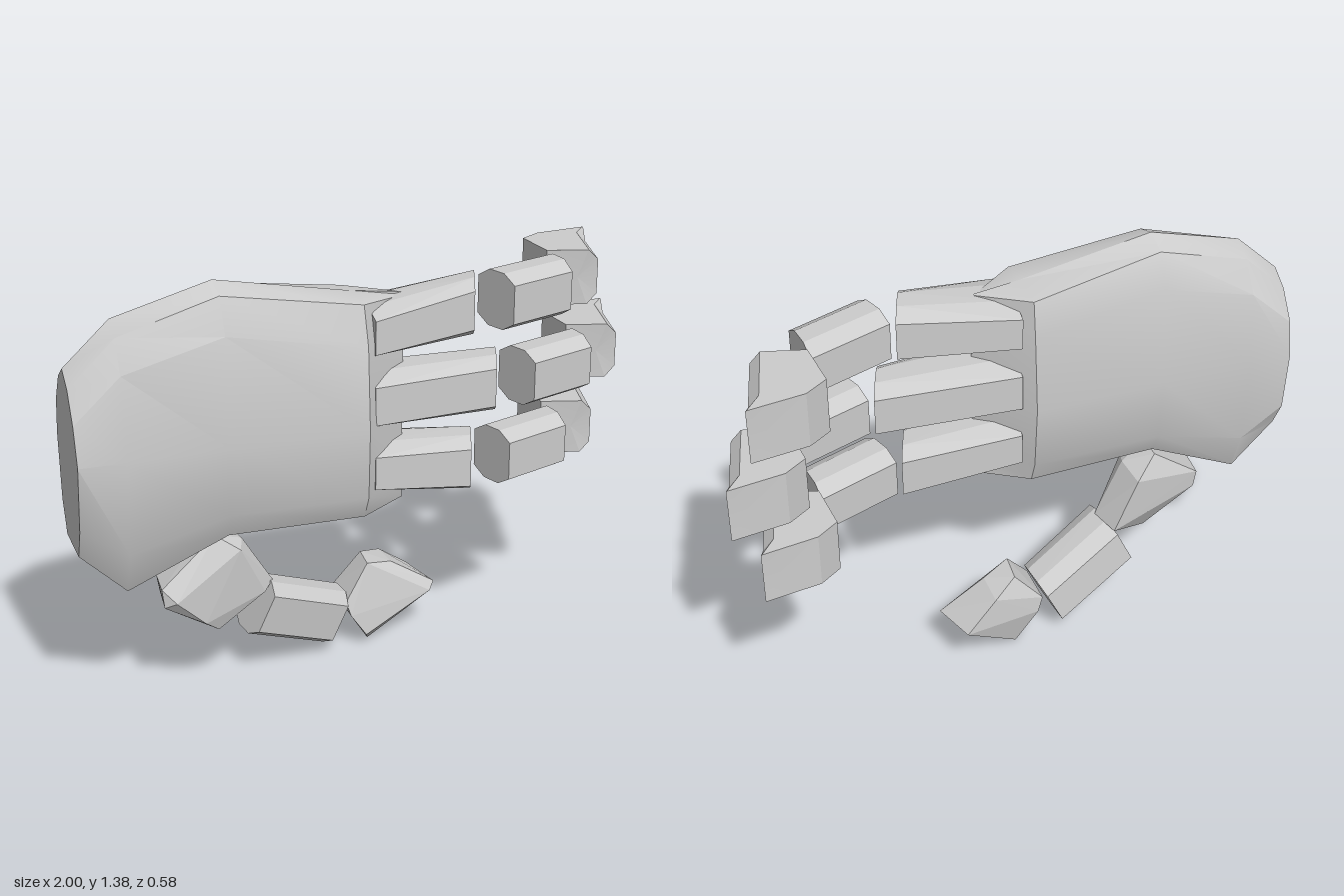
import * as THREE from 'three';
import { toCreasedNormals } from 'three/addons/utils/BufferGeometryUtils.js';
import { ConvexGeometry } from 'three/addons/geometries/ConvexGeometry.js';

const V = (x, y, z) => new THREE.Vector3(x, y, z);

// Octagonal ring spanning a front and a back point, with a half-height vector
function ring(front, back, up) {
  const pts = [];
  for (const [t, s] of [[0, 0.68], [0.3, 1], [0.7, 1], [1, 0.68]]) {
    for (const sign of [1, -1]) pts.push(front.clone().lerp(back, t).addScaledVector(up, s * sign));
  }
  return pts;
}

// Skin over equal-length rings (counterclockwise seen from the last one), capped at both ends
function loft(rings, crease) {
  const n = rings[0].length;
  const pts = rings.flat();
  const index = [];
  const last = (rings.length - 1) * n;
  for (let i = 0; i < last; i += n) {
    for (let j = 0; j < n; j++) {
      const k = (j + 1) % n;
      index.push(i + j, i + k, i + k + n, i + j, i + k + n, i + j + n);
    }
  }
  for (const r of [rings[0], rings[rings.length - 1]]) {
    const centre = V(0, 0, 0);
    r.forEach((p) => centre.addScaledVector(p, 1 / n));
    pts.push(centre);
  }
  for (let j = 0; j < n; j++) {
    const k = (j + 1) % n;
    index.push(pts.length - 2, k, j, pts.length - 1, last + j, last + k);
  }
  const g = new THREE.BufferGeometry().setFromPoints(pts);
  g.setIndex(index);
  return toCreasedNormals(g, crease);
}

// Palm cross-sections along x, closing to a wedge at the knuckles
function palmGeometry() {
  // x, top y, bottom y, chamfer drop, chamfer z front/back, shoulder z, low y, bottom z front/back
  const stations = [
    [-1, 1.15, 0.57, 0.045, 0.19, 0.05, 0.25, 0.67, 0.21, 0.03],
    [-0.85, 1.29, 0.42, 0.04, 0.19, 0.05, 0.25, 0.57, 0.19, 0.03],
    [-0.53, 1.38, 0.58, 0.03, 0.20, 0.04, 0.26, 0.66, 0.23, 0.02],
    [-0.08, 1.30, 0.58, 0.015, 0.23, 0.0, 0.27, 0.66, 0.235, 0.01],
    [0.09, 1.28, 0.58, 0.01, 0.12, 0.12, 0.12, 0.66, 0.12, 0.12],
  ];
  const rings = stations.map(([x, top, bottom, drop, zf, zb, zs, low, bf, bb]) => {
    const tip = x > 0;
    const section = [
      [0.12, top], [zf, top - drop], [zs, top - 0.14], [0.288, 0.89], [zs + 0.005, low],
      [bf, bottom], [bb, bottom], [-0.02, low], [-0.038, 0.89], [-0.015, top - 0.14], [zb, top - drop],
    ];
    return section.map(([z, y]) => V(x, y, tip ? 0.12 : z));
  });
  return loft(rings, 0.46);
}

export function createModel() {
  const skin = new THREE.MeshStandardMaterial({ color: 0xcccccc });
  skin.name = 'light grey';
  const hand = new THREE.Group();
  hand.name = 'hand';

  const add = (parent, name, geometry) => {
    const mesh = new THREE.Mesh(geometry, skin);
    mesh.name = name;
    parent.add(mesh);
  };
  const hull = (parent, name, pts) => add(parent, name, new ConvexGeometry(pts));

  add(hand, 'palm', palmGeometry());

  // Fingers: name, knuckle y, finger y, knuckle half height, reach
  const fingers = [
    ['upperFinger', 1.18, 1.222, 0.08, 0],
    ['middleFinger', 0.955, 0.955, 0.092, 0.082],
    ['lowerFinger', 0.73, 0.688, 0.08, 0],
  ];
  for (const [name, y0, y, h0, dx] of fingers) {
    const finger = new THREE.Group();
    finger.name = name;
    hand.add(finger);
    const up = V(0, 0.094, 0);
    hull(finger, 'knuckleSegment', [
      ...ring(V(-0.05, y0, 0.255), V(-0.04, y0, -0.01), V(0, h0, 0)),
      ...ring(V(0.295 + dx, y, 0.215), V(0.365 + dx, y, 0.03), up),
    ]);
    hull(finger, 'middleSegment', [
      ...ring(V(0.435 + dx, y, 0.205), V(0.38 + dx, y, 0.04), up),
      ...ring(V(0.68 + dx, y, 0.115), V(0.66 + dx, y, -0.06), up),
    ]);
    // fingertip curls backward; its chamfered outer edge squares off at the end
    const tip = [
      [0.665, -0.05, 0.835, -0.01, 0.035], [0.655, -0.22, 0.895, -0.23, 0.035], [0.73, -0.27, 0.916, -0.292, 0.003],
    ].map(([xl, zl, xr, zr, c]) => [
      V(xl + dx, y + 0.094, zl), V(xr + dx - c, y + 0.094, zr), V(xr + dx, y + 0.094 - c, zr),
      V(xr + dx, y - 0.094 + c, zr), V(xr + dx - c, y - 0.094, zr), V(xl + dx, y - 0.094, zl),
    ]);
    add(finger, 'fingertip', loft(tip, 0.15));
  }

  // Thumb
  const thumb = new THREE.Group();
  thumb.name = 'thumb';
  hand.add(thumb);
  hull(thumb, 'thumbBase', [
    V(-0.74, 0.40, 0.18), V(-0.73, 0.40, 0.06), V(-0.735, 0.34, 0.19), V(-0.72, 0.34, 0.06),
    V(-0.70, 0.36, 0.215), V(-0.55, 0.54, 0.13), V(-0.55, 0.54, 0.04), V(-0.47, 0.485, 0.15),
    V(-0.45, 0.50, 0.09), V(-0.46, 0.49, -0.03), V(-0.38, 0.305, 0.11), V(-0.34, 0.32, 0.06),
    V(-0.365, 0.32, -0.055), V(-0.55, 0.215, 0.15), V(-0.53, 0.22, 0.06), V(-0.60, 0.26, 0.185),
  ]);
  const thumbUp = V(0.042, 0.088, 0);
  hull(thumb, 'thumbMiddle', [
    ...ring(V(-0.385, 0.235, 0.14), V(-0.41, 0.235, -0.05), thumbUp),
    ...ring(V(-0.10, 0.11, 0.05), V(-0.115, 0.11, -0.135), thumbUp),
  ]);
  hull(thumb, 'thumbTip', [
    V(-0.07, 0.17, 0.02), V(-0.07, 0.17, -0.13), V(-0.055, 0.12, 0.03), V(-0.05, 0.12, -0.14),
    V(0.02, 0.285, -0.02), V(0.03, 0.285, -0.12), V(0.12, 0.26, -0.06), V(0.12, 0.255, -0.18),
    V(0.28, 0.16, -0.06), V(0.235, 0.17, -0.22), V(0.255, 0.14, -0.03), V(0.0, 0.04, 0.03),
    V(0.02, 0.002, -0.02), V(0.03, 0.005, -0.13),
  ]);

  return hand;
}
